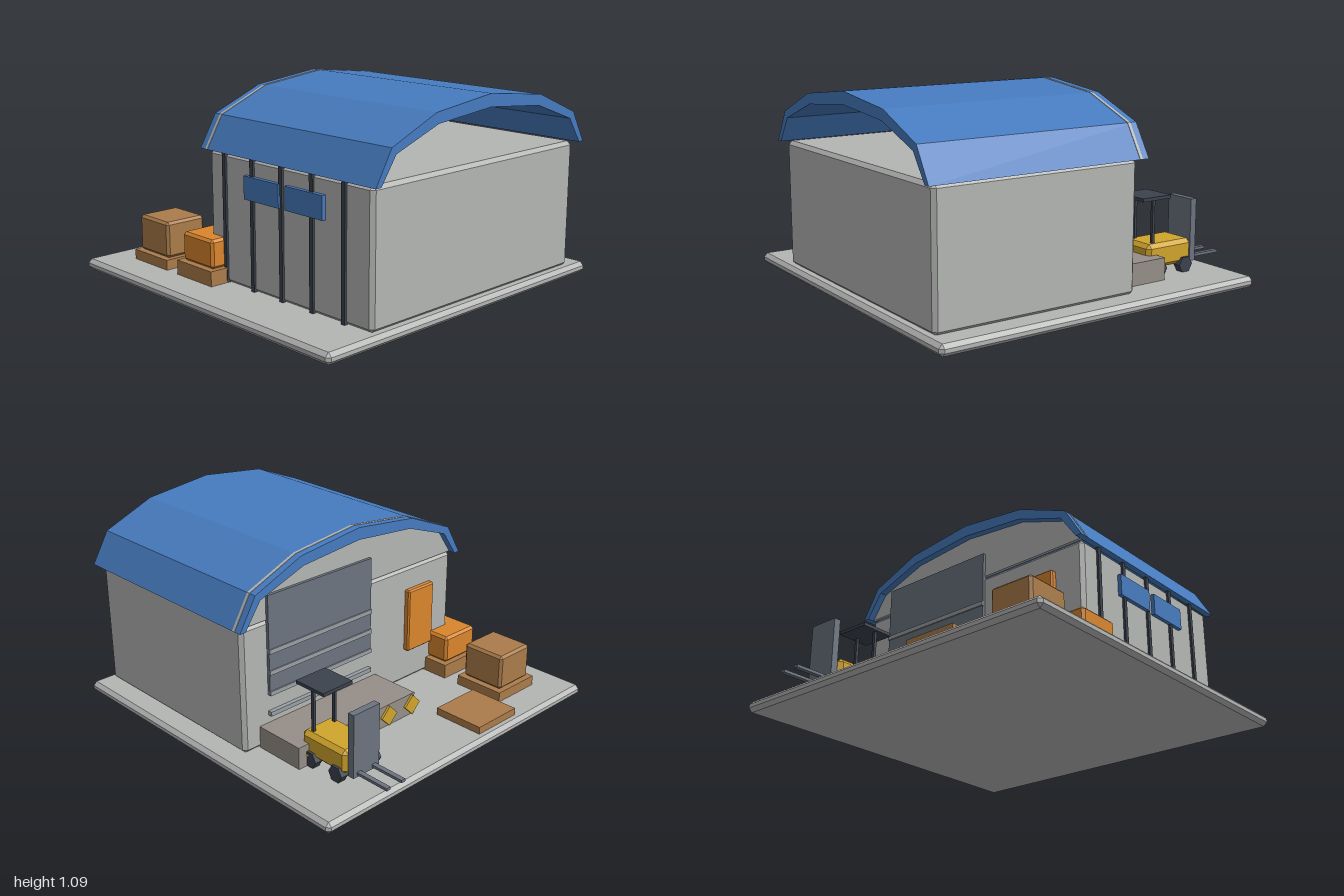
import * as THREE from 'three';
import { ConvexGeometry } from 'three/addons/geometries/ConvexGeometry.js';

const mat = (name, color) => {
  const m = new THREE.MeshStandardMaterial({ color });
  m.name = name;
  return m;
};

export function createModel() {
  const concrete = mat('concrete grey', 0xb4b6b4);
  const blue = mat('roof blue', 0x467bbf);
  const stone = mat('dock stone', 0x968f88);
  const orange = mat('orange', 0xd9852c);
  const wood = mat('wood brown', 0xab7c4a);
  const yellow = mat('safety yellow', 0xd1a52c);
  const dark = mat('dark metal', 0x3c424d);
  const slate = mat('slate metal', 0x6c7480);
  const pale = mat('pale metal', 0x9aa0a6);

  const model = new THREE.Group();
  model.name = 'warehouse';

  const add = (name, geo, material, parent = model) => {
    const mesh = new THREE.Mesh(geo, material);
    mesh.name = name;
    parent.add(mesh);
    return mesh;
  };

  // Box given by its limits on each axis, with optional chamfered edges
  const box = (name, [x0, x1], [y0, y1], [z0, z1], material, bevel = 0, parent = model) => {
    const w = x1 - x0, h = y1 - y0, d = z1 - z0;
    let geo;
    if (bevel) {
      const pts = [];
      for (const sx of [-1, 1]) for (const sy of [-1, 1]) for (const sz of [-1, 1]) {
        for (let k = 0; k < 3; k++) {
          const inset = [bevel, bevel, bevel];
          inset[k] = 0;
          pts.push(new THREE.Vector3(
            sx * (w / 2 - inset[0]), sy * (h / 2 - inset[1]), sz * (d / 2 - inset[2])));
        }
      }
      geo = new ConvexGeometry(pts);
    } else {
      geo = new THREE.BoxGeometry(w, h, d);
    }
    const mesh = add(name, geo, material, parent);
    mesh.position.set((x0 + x1) / 2, (y0 + y1) / 2, (z0 + z1) / 2);
    return mesh;
  };

  // Ground slab and hall
  box('groundSlab', [-0.98, 0.97], [0, 0.06], [-0.95, 0.99], concrete, 0.02);
  box('hallWalls', [-0.67, 0.85], [0.055, 0.745], [-0.22, 0.95], concrete, 0.02);

  // Arched roof: half profiles mirrored about the ridge
  const ridge = 0.095;
  const arch = (half) => [
    ...half.map(([x, y]) => new THREE.Vector2(ridge - x, y)),
    ...half.slice(0, -1).reverse().map(([x, y]) => new THREE.Vector2(ridge + x, y)),
  ];
  const outer = arch([[0.79, 0.745], [0.69, 0.915], [0.395, 1.037], [0, 1.083]]);
  const inner = arch([[0.755, 0.745], [0.66, 0.882], [0.38, 0.982], [0, 1.017]]);
  const extrude = (pts, z0, z1) => {
    const geo = new THREE.ExtrudeGeometry(new THREE.Shape(pts), { depth: z1 - z0, bevelEnabled: false });
    return geo.translate(0, 0, z0);
  };
  add('archedRoof', extrude([...outer, ...inner.reverse()], -0.26, 0.99), blue);
  // The gable reaches just through the roof as a thin seam
  const seam = outer.map((p) => new THREE.Vector2(ridge + (p.x - ridge) * 1.002, p.y + 0.002));
  add('gable', extrude(seam, -0.22, -0.203), concrete);

  // Half-raised shutter with ribs
  box('shutter', [-0.02, 0.69], [0.34, 0.88], [-0.237, -0.215], slate);
  for (let i = 0; i < 4; i++) {
    const y = 0.235 + i * 0.115;
    box('shutterRib', [-0.02, 0.69], [y - 0.012, y + 0.012], [-0.244, -0.215], pale);
  }

  // Side door
  box('door', [-0.5, -0.3], [0.25, 0.615], [-0.255, -0.215], orange, 0.008);

  // Wall posts and windows on the right side
  for (let i = 0; i < 5; i++) {
    const z = -0.09 + i * 0.216;
    box('wallPost', [-0.682, -0.66], [0.06, 0.74], [z - 0.012, z + 0.012], dark);
  }
  for (const z of [0.21, 0.515]) {
    box('window', [-0.692, -0.665], [0.535, 0.655], [z - 0.13, z + 0.13], blue);
  }

  // Loading dock with warning diamonds
  box('loadingDock', [-0.075, 0.75], [0.055, 0.18], [-0.512, -0.215], stone);
  for (let i = 0; i < 5; i++) {
    const mark = add('warningDiamond', new THREE.BoxGeometry(0.08, 0.08, 0.018), yellow);
    mark.position.set(-0.05 + i * 0.175, 0.12, -0.516);
    mark.rotation.z = Math.PI / 4;
  }

  // Pallets and crates
  box('pallet', [-0.785, -0.49], [0.055, 0.14], [-0.37, -0.08], wood);
  box('orangeCrate', [-0.76, -0.515], [0.14, 0.295], [-0.35, -0.1], orange, 0.014);
  box('pallet', [-0.785, -0.49], [0.055, 0.115], [-0.76, -0.465], wood);
  box('woodCrate', [-0.76, -0.515], [0.115, 0.312], [-0.74, -0.485], wood, 0.014);
  box('emptyPallet', [-0.44, -0.145], [0.055, 0.1], [-0.905, -0.615], wood);

  // Forklift
  const lift = new THREE.Group();
  lift.name = 'forklift';
  model.add(lift);
  box('liftBody', [0.475, 0.685], [0.105, 0.237], [-0.765, -0.455], yellow, 0.022, lift);
  box('liftCanopy', [0.485, 0.678], [0.472, 0.49], [-0.61, -0.417], dark, 0, lift);
  for (const x of [0.51, 0.65]) {
    box('canopyPost', [x - 0.008, x + 0.008], [0.22, 0.475], [-0.518, -0.502], dark, 0, lift);
  }
  box('mast', [0.495, 0.668], [0.105, 0.447], [-0.805, -0.767], slate, 0, lift);
  for (const x of [0.532, 0.632]) {
    box('fork', [x - 0.013, x + 0.013], [0.117, 0.132], [-1, -0.8], slate, 0, lift);
  }
  for (const x of [0.45, 0.677]) for (const z of [-0.53, -0.71]) {
    const geo = new THREE.CylinderGeometry(0.046, 0.046, 0.045, 6).toNonIndexed();
    geo.computeVertexNormals();
    const wheel = add('wheel', geo, dark, lift);
    wheel.rotation.z = Math.PI / 2;
    wheel.position.set(x, 0.102, z);
  }

  return model;
}
